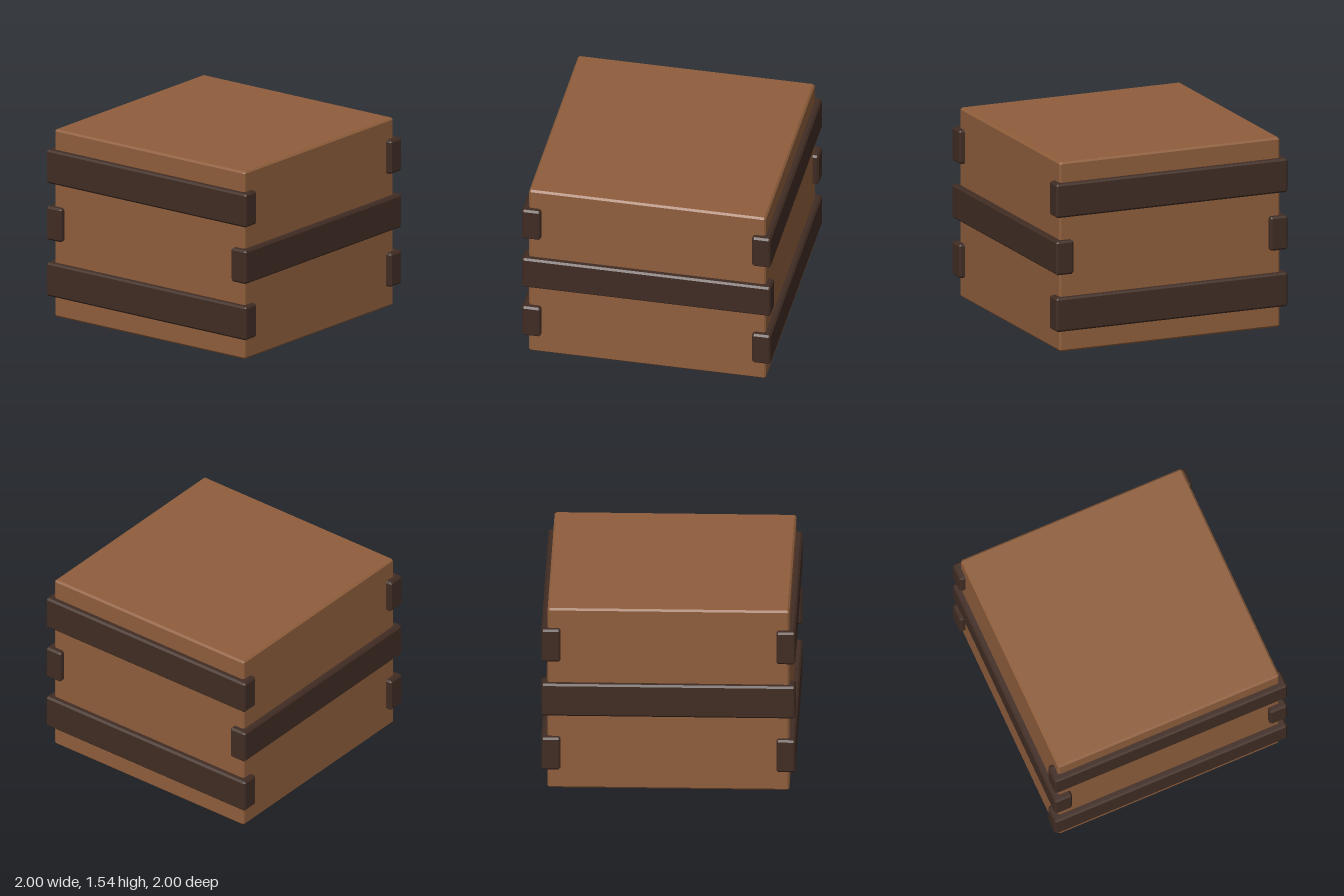
import * as THREE from 'three';
import { ConvexGeometry } from 'three/addons/geometries/ConvexGeometry.js';

// Box with flat chamfered edges: three inset corner points at each of the eight corners
function chamferBox(w, h, d, c) {
  const points = [];
  for (const sx of [-1, 1]) for (const sy of [-1, 1]) for (const sz of [-1, 1]) {
    const x = w / 2, y = h / 2, z = d / 2;
    for (const [px, py, pz] of [[x, y - c, z - c], [x - c, y, z - c], [x - c, y - c, z]]) {
      points.push(new THREE.Vector3(sx * px, sy * py, sz * pz));
    }
  }
  return new ConvexGeometry(points);
}

export function createModel() {
  const wood = new THREE.MeshStandardMaterial({ name: 'brown wood', color: 0x8f5e3c });
  const darkWood = new THREE.MeshStandardMaterial({ name: 'dark wood', color: 0x402c23 });
  const model = new THREE.Group();
  model.name = 'crate';

  // Crate body
  const body = new THREE.Mesh(chamferBox(1.904, 1.54, 1.904, 0.015), wood);
  body.name = 'body';
  body.position.y = 0.77;
  model.add(body);

  // Planks: two on the front and back, one at mid height on each side
  const plankGeometry = chamferBox(2, 0.274, 0.15, 0.015);
  function addPlank(name, y, angle) {
    const plank = new THREE.Mesh(plankGeometry, darkWood);
    plank.name = name;
    plank.rotation.y = angle;
    plank.position.set(Math.sin(angle) * 0.925, y, Math.cos(angle) * 0.925);
    model.add(plank);
  }
  for (const [side, angle] of [['front', 0], ['back', Math.PI]]) {
    addPlank(side + 'LowerPlank', 0.311, angle);
    addPlank(side + 'UpperPlank', 1.238, angle);
  }
  addPlank('leftPlank', 0.773, Math.PI / 2);
  addPlank('rightPlank', 0.773, -Math.PI / 2);

  return model;
}
